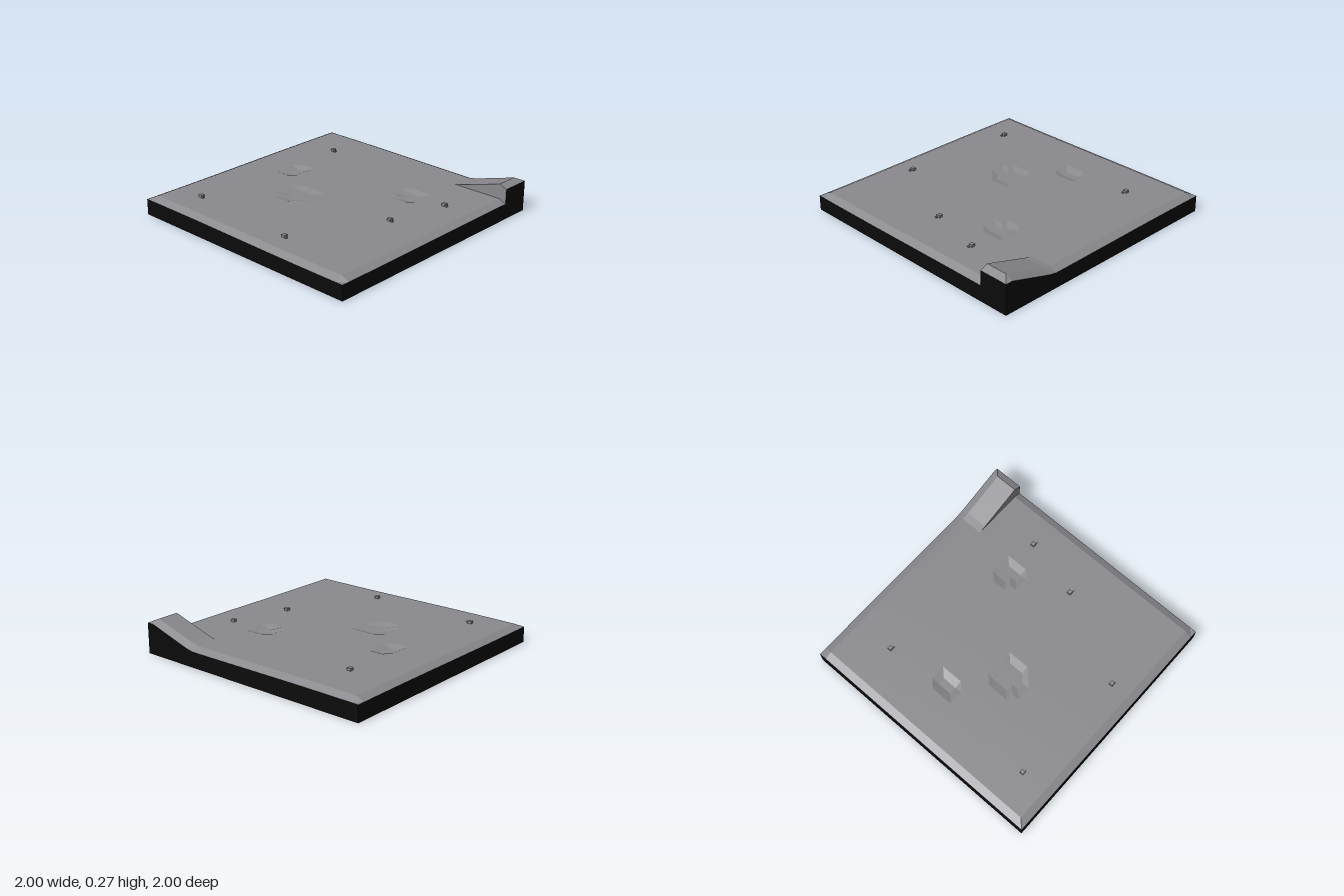
import * as THREE from 'three';

const N = 34;                       // grid cells per side
const EDGE = 1 - 2 / N;             // where the rim bevel begins
const STEP_ROW = 4;                 // row where the raised corner drops away
const at = (i) => -1 + (2 * i) / N;

// Craters: depth and, per grid row, the first and last sunken column
const craters = [
  { depth: 0.02, rows: { 14: [7, 8], 15: [7, 8], 16: [7, 8] } },
  { depth: 0.016, rows: { 10: [23, 25], 11: [23, 25], 12: [24, 25] } },
  { depth: 0.014, rows: { 19: [12, 15], 20: [12, 15], 21: [12, 15], 22: [13, 14] } },
];

const ramp = (x) => Math.max(0, (Math.min(x, EDGE) - 0.55) * 0.3);

// Gentle swell of the ground, dropping at the rim
function baseHeight(x, z) {
  const rim = Math.max(Math.abs(x), Math.abs(z)) > EDGE + 0.01 ? 0.028 : 0;
  return 0.151 - 0.004 * Math.sin(2.4 * x) - 0.003 * Math.sin(2.4 * z) - rim;
}

function groundPoint(i, j, raised) {
  const x = at(i), z = at(j);
  let y = baseHeight(x, z) + (raised ? ramp(x) : 0);
  for (const { depth, rows } of craters) {
    const span = rows[j];
    if (span && i >= span[0] && i <= span[1]) y -= depth;
  }
  return [x, y, z];
}

// Faceted surface from rows of points
function surface(rows) {
  const pos = [];
  for (let j = 0; j < rows.length - 1; j++) {
    for (let i = 0; i < rows[j].length - 1; i++) {
      const a = rows[j][i], b = rows[j + 1][i], c = rows[j + 1][i + 1], d = rows[j][i + 1];
      pos.push(...a, ...b, ...d, ...b, ...c, ...d);
    }
  }
  const geo = new THREE.BufferGeometry();
  geo.setAttribute('position', new THREE.Float32BufferAttribute(pos, 3));
  geo.computeVertexNormals();
  return geo;
}

export function createModel() {
  const group = new THREE.Group();
  const ground = new THREE.MeshStandardMaterial({ color: 0x8a898e, side: THREE.DoubleSide });
  ground.name = 'ground grey';
  const black = new THREE.MeshStandardMaterial({ color: 0x0b0b0b, side: THREE.DoubleSide });
  black.name = 'skirt black';

  const add = (geo, mat, name) => {
    const mesh = new THREE.Mesh(geo, mat);
    mesh.name = name;
    group.add(mesh);
    return mesh;
  };

  // Ground; the step row is doubled to make the ramp's upright side
  const rows = [];
  const addRow = (j, raised) =>
    rows.push(Array.from({ length: N + 1 }, (_, i) => groundPoint(i, j, raised)));
  for (let j = 0; j <= STEP_ROW; j++) addRow(j, true);
  for (let j = STEP_ROW; j <= N; j++) addRow(j, false);
  add(surface(rows), ground, 'ground');

  // Skirt walls hang from the ground's edges, open underneath
  const wall = (edge, name) =>
    add(surface([edge, edge.map(([x, , z]) => [x, 0, z])]), black, name);
  wall(rows[rows.length - 1], 'frontSkirt');
  wall([...rows[0]].reverse(), 'backSkirt');
  wall(rows.map((r) => r[0]), 'rightSkirt');
  wall(rows.map((r) => r[N]).reverse(), 'leftSkirt');

  // Scattered stones, each with a pebble beside it
  const spots = [[-0.625, -0.625], [0.725, -0.385], [0.605, 0.085], [-0.685, 0.735], [0.255, 0.79]];
  for (const [x, z] of spots) {
    const y = baseHeight(x, z);
    add(new THREE.BoxGeometry(0.03, 0.03, 0.03), ground, 'stone').position.set(x, y + 0.005, z);
    add(new THREE.BoxGeometry(0.014, 0.014, 0.014), ground, 'pebble').position.set(x + 0.026, y + 0.003, z + 0.007);
  }
  return group;
}
